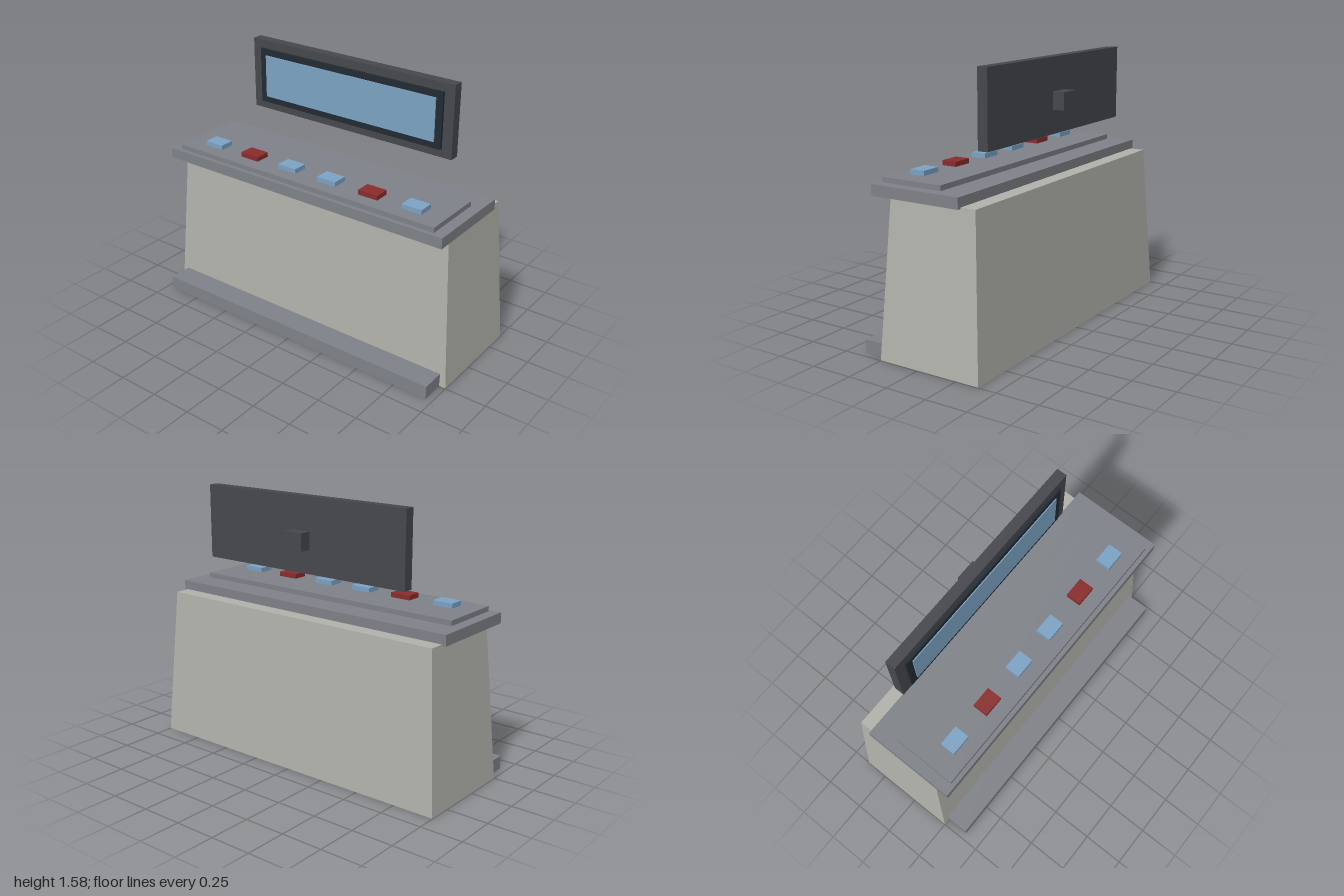
import * as THREE from 'three';

const mat = (name, color) => {
  const m = new THREE.MeshStandardMaterial({ color });
  m.name = name;
  return m;
};

export function createModel() {
  const group = new THREE.Group();
  const shell = mat('warm grey', 0xb2b2ac);
  const metal = mat('steel grey', 0x7f8288);
  const frame = mat('charcoal', 0x46484d);
  const bezel = mat('dark navy', 0x222b33);
  const blue = mat('light blue', 0x7ca3c4);
  const red = mat('dark red', 0x8a2c2c);

  // Box given by its limits on each axis
  const box = (name, material, [x0, x1], [y0, y1], [z0, z1]) => {
    const mesh = new THREE.Mesh(new THREE.BoxGeometry(x1 - x0, y1 - y0, z1 - z0), material);
    mesh.position.set((x0 + x1) / 2, (y0 + y1) / 2, (z0 + z1) / 2);
    mesh.name = name;
    group.add(mesh);
    return mesh;
  };
  const sym = (w) => [-w, w];

  // Tapered cabinet: the upper corners of a box are drawn inwards
  const cabinet = box('cabinet', shell, sym(1), [0.002, 0.905], [-0.39, 0.25]);
  const p = cabinet.geometry.attributes.position;
  for (let i = 0; i < p.count; i++) {
    if (p.getY(i) > 0) {
      p.setX(i, p.getX(i) * 0.936);
      p.setZ(i, p.getZ(i) * 0.844);
    }
  }
  cabinet.geometry.computeVertexNormals();

  // Plinth, countertop and control panel
  box('plinth', metal, sym(0.96), [0, 0.08], [-0.32, 0.39]);
  box('countertop', metal, sym(0.96), [0.897, 0.96], [-0.25, 0.312]);
  box('controlPanel', metal, sym(0.895), [0.96, 0.99], [-0.095, 0.287]);

  // Row of buttons
  [blue, red, blue, blue, red, blue].forEach((material, i) => {
    const x = (i - 2.5) * 0.282;
    box('button', material, [x - 0.063, x + 0.063], [0.99, 1.018], [0.112, 0.204]);
  });

  // Floating display with rear mount
  box('displayFrame', frame, sym(0.704), [1.145, 1.58], [-0.255, -0.193]);
  box('displayBezel', bezel, sym(0.64), [1.193, 1.53], [-0.193, -0.178]);
  box('displayScreen', blue, sym(0.598), [1.232, 1.492], [-0.178, -0.172]);
  box('displayMount', frame, sym(0.063), [1.285, 1.387], [-0.327, -0.255]);

  return group;
}
